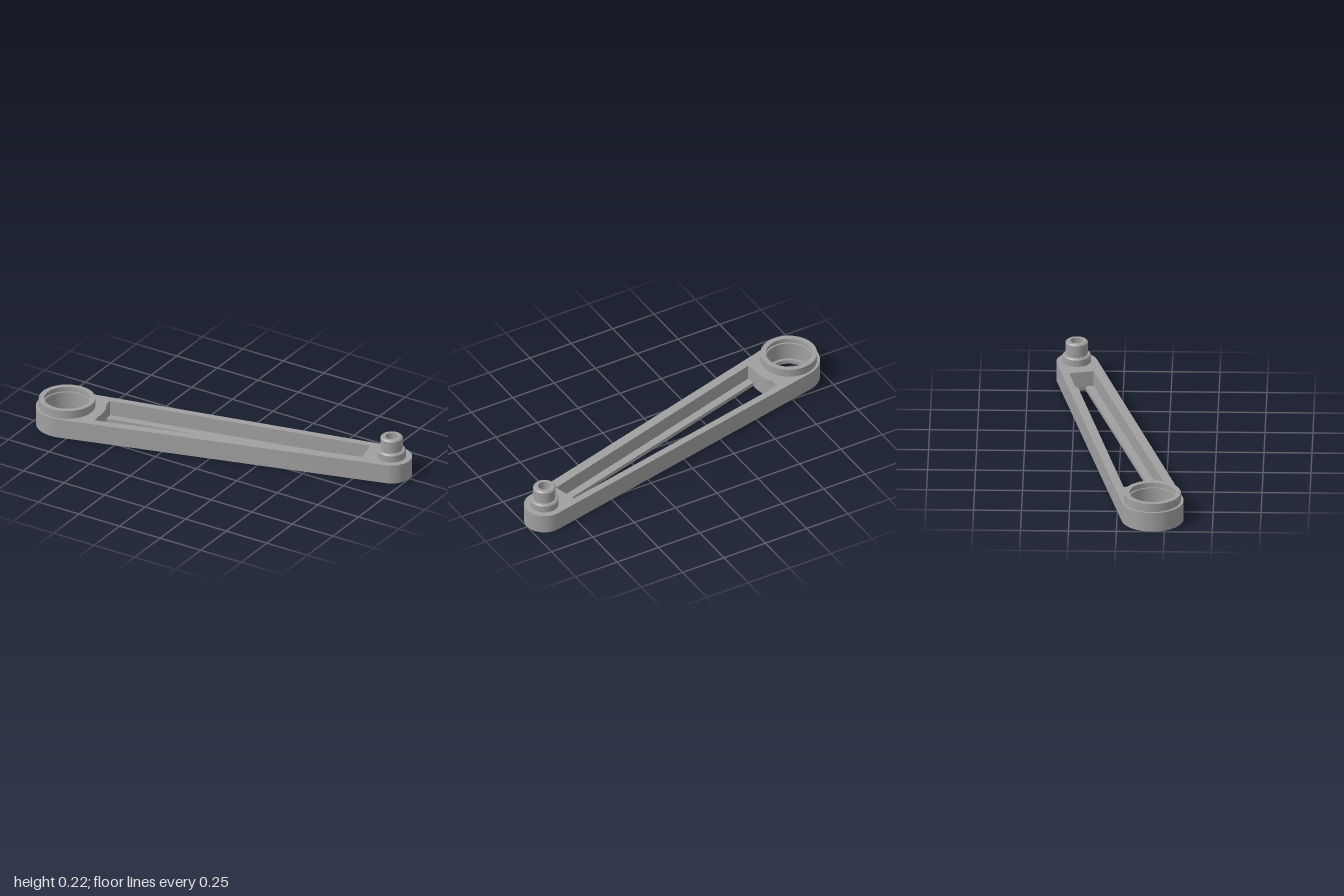
import * as THREE from 'three';
import { toCreasedNormals } from 'three/addons/utils/BufferGeometryUtils.js';

// Ends of the arm in plan (x, -z), with their outer radii
const BIG = { x: -0.837, y: -0.185, r: 0.163 };
const SMALL = { x: 0.893, y: 0.245, r: 0.107 };
const LEDGE = 0.022, DECK = 0.106, SLEEVE_R = 0.148;

// Two circles joined by their common tangents
function armOutline() {
  const dx = SMALL.x - BIG.x, dy = SMALL.y - BIG.y;
  const along = Math.atan2(dy, dx);
  const spread = Math.acos((BIG.r - SMALL.r) / Math.hypot(dx, dy));
  const shape = new THREE.Shape();
  shape.absarc(BIG.x, BIG.y, BIG.r, along + spread, along - spread + Math.PI * 2, false);
  shape.absarc(SMALL.x, SMALL.y, SMALL.r, along - spread, along + spread, false);
  shape.closePath();
  return shape;
}

// Tapered window whose wide end curves around the big bore
function windowPath(topCorner, rightTop, rightBottom, bottomCorner) {
  const path = new THREE.Path();
  path.moveTo(...topCorner);
  path.lineTo(...rightTop);
  path.lineTo(...rightBottom);
  path.lineTo(...bottomCorner);
  path.absarc(BIG.x, BIG.y, 0.205, -0.1, 0.62, false);
  path.closePath();
  return path;
}

function armLayer(name, y0, y1, opening, material) {
  const shape = armOutline();
  const bore = new THREE.Path();
  bore.absarc(BIG.x, BIG.y, SLEEVE_R, 0, Math.PI * 2, true);
  shape.holes.push(bore, opening);
  const geo = new THREE.ExtrudeGeometry(shape, { depth: y1 - y0, bevelEnabled: false, curveSegments: 48 });
  geo.rotateX(-Math.PI / 2);
  geo.translate(0, y0, 0);
  const mesh = new THREE.Mesh(toCreasedNormals(geo, 0.4), material);
  mesh.name = name;
  return mesh;
}

// Turned part standing on one end of the arm
function turned(name, profile, end, material) {
  const geo = new THREE.LatheGeometry(profile.map(([r, y]) => new THREE.Vector2(r, y)), 64);
  const mesh = new THREE.Mesh(toCreasedNormals(geo, 0.4), material);
  mesh.name = name;
  mesh.position.set(end.x, 0, -end.y);
  return mesh;
}

export function createModel() {
  const model = new THREE.Group();
  model.name = 'linkArm';
  const steel = new THREE.MeshStandardMaterial({ color: 0xa0a0a0 });
  steel.name = 'grey steel';

  // Arm: narrow opening below, wider pocket above, leaving a ledge on each long side
  model.add(
    armLayer('armLedge', 0, LEDGE,
      windowPath([-0.674, -0.066], [0.748, 0.236], [0.765, 0.198], [-0.634, -0.203]), steel),
    armLayer('armBody', LEDGE, DECK,
      windowPath([-0.674, -0.022], [0.738, 0.282], [0.770, 0.155], [-0.626, -0.246]), steel),
  );

  // Bearing sleeve with a bottom lip and a retaining groove
  model.add(turned('bearingSleeve', [
    [0.105, 0], [SLEEVE_R, 0], [SLEEVE_R, 0.151], [0.12, 0.151],
    [0.12, 0.135], [0.129, 0.135], [0.129, 0.12], [0.12, 0.12],
    [0.12, 0.022], [0.105, 0.022], [0.105, 0],
  ], BIG, steel));

  // Shouldered pin with a neck and a blind hole
  model.add(turned('pivotPin', [
    [0.074, DECK - 0.002], [0.074, 0.143], [0.068, 0.15], [0.057, 0.15],
    [0.057, 0.158], [0.059, 0.158], [0.059, 0.217], [0.052, 0.224],
    [0.033, 0.224], [0.033, 0.125], [0, 0.125],
  ], SMALL, steel));

  return model;
}
